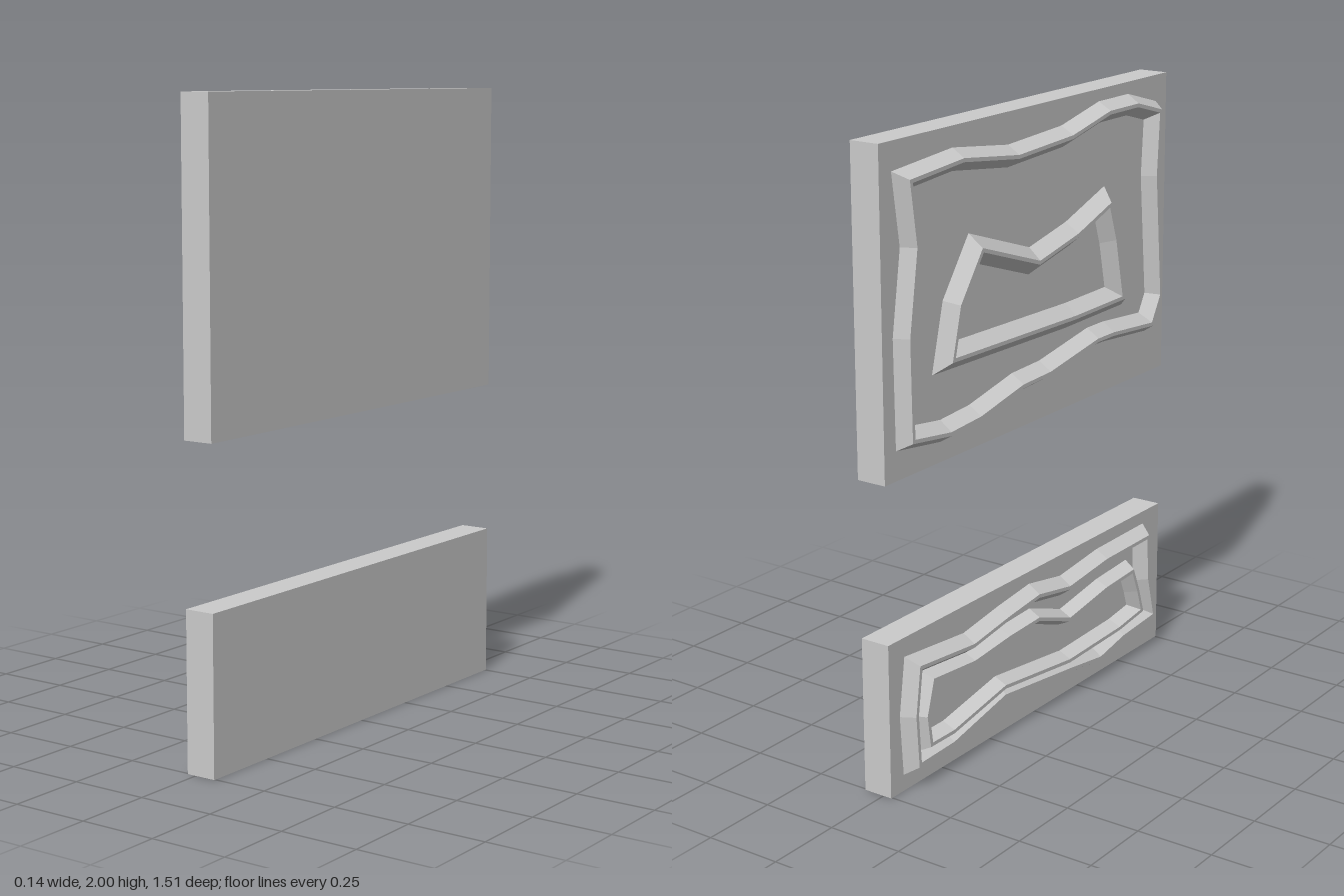
import * as THREE from 'three';

const material = new THREE.MeshStandardMaterial({ color: 0xcccccc, flatShading: true });

const FACE = -0.03;   // carved face of the slabs
const CREST = -0.073; // top of the ridges

// Move a closed outline of [z, y] points outward (or inward) with mitred corners
function offsetLoop(points, distance) {
  const n = points.length;
  const normal = (a, b) => {
    const dz = b[0] - a[0], dy = b[1] - a[1], l = Math.hypot(dz, dy);
    return [-dy / l, dz / l];
  };
  return points.map((p, i) => {
    const n1 = normal(points[(i + n - 1) % n], p);
    const n2 = normal(p, points[(i + 1) % n]);
    const k = distance / Math.max(0.45, 1 + n1[0] * n2[0] + n1[1] * n2[1]);
    return [p[0] + (n1[0] + n2[0]) * k, p[1] + (n1[1] + n2[1]) * k];
  });
}

// Closed ridge: sloped outside, narrow crest, sloped inside
function ridge(name, points, outer = 0.026, inner = 0.03) {
  const flat = 0.012;
  const sections = [[outer, FACE], [0, CREST], [-flat, CREST], [-flat - inner, FACE]];
  const loops = sections.map(([d, x]) => offsetLoop(points, d).map(([z, y]) => [x, y, z]));
  const position = [];
  for (let s = 0; s < loops.length - 1; s++) {
    for (let i = 0; i < points.length; i++) {
      const j = (i + 1) % points.length;
      const a = loops[s][i], b = loops[s][j], c = loops[s + 1][j], d = loops[s + 1][i];
      position.push(...a, ...d, ...c, ...a, ...c, ...b);
    }
  }
  const geometry = new THREE.BufferGeometry();
  geometry.setAttribute('position', new THREE.Float32BufferAttribute(position, 3));
  geometry.computeVertexNormals();
  const mesh = new THREE.Mesh(geometry, material);
  mesh.name = name;
  return mesh;
}

function slab(name, bottom, height) {
  const mesh = new THREE.Mesh(new THREE.BoxGeometry(0.1, height, 1.51), material);
  mesh.position.set(0.02, bottom + height / 2, 0);
  mesh.name = name;
  return mesh;
}

// Crest outlines as [z, y]: along the top, down the front end, back along the bottom
const upperOuter = [
  [-0.67, 1.89], [-0.415, 1.91], [-0.14, 1.875], [0.147, 1.89], [0.356, 1.935], [0.52, 1.935], [0.664, 1.895],
  [0.65, 1.68], [0.685, 1.27], [0.63, 1.175],
  [0.39, 1.195], [0.3, 1.195], [0.03, 1.15], [-0.117, 1.145], [-0.338, 1.1], [-0.49, 1.09], [-0.675, 1.115],
  [-0.68, 1.43], [-0.64, 1.69],
];
const upperInner = [
  [-0.327, 1.628], [-0.03, 1.53], [0.18, 1.575], [0.367, 1.64],
  [0.41, 1.515], [0.455, 1.305],
  [0.17, 1.3], [-0.48, 1.312],
  [-0.437, 1.477],
];
const lowerOuter = [
  [-0.657, 0.41], [-0.382, 0.385], [-0.195, 0.413], [-0.03, 0.432], [0.147, 0.402], [0.367, 0.427], [0.63, 0.43],
  [0.64, 0.27], [0.68, 0.115],
  [0.477, 0.1], [0.334, 0.072], [0.147, 0.097], [-0.217, 0.14], [-0.49, 0.084], [-0.668, 0.08],
  [-0.68, 0.25],
];
const lowerInner = [
  [-0.59, 0.345], [-0.38, 0.328], [-0.195, 0.345], [-0.03, 0.352], [0.147, 0.29], [0.367, 0.325], [0.535, 0.335],
  [0.57, 0.25], [0.6, 0.16],
  [0.45, 0.14], [0.147, 0.13], [-0.217, 0.172], [-0.49, 0.124], [-0.61, 0.125],
  [-0.625, 0.23],
];

export function createModel() {
  const model = new THREE.Group();
  model.name = 'carvedPanels';

  const upper = new THREE.Group();
  upper.name = 'upperPanel';
  upper.add(
    slab('upperSlab', 1, 1),
    ridge('upperOuterRidge', upperOuter),
    ridge('upperInnerRidge', upperInner, 0.035, 0.035),
  );

  const lower = new THREE.Group();
  lower.name = 'lowerPanel';
  lower.add(
    slab('lowerSlab', 0, 0.5),
    ridge('lowerOuterRidge', lowerOuter),
    ridge('lowerInnerRidge', lowerInner, 0.02, 0.02),
  );

  model.add(upper, lower);
  return model;
}
